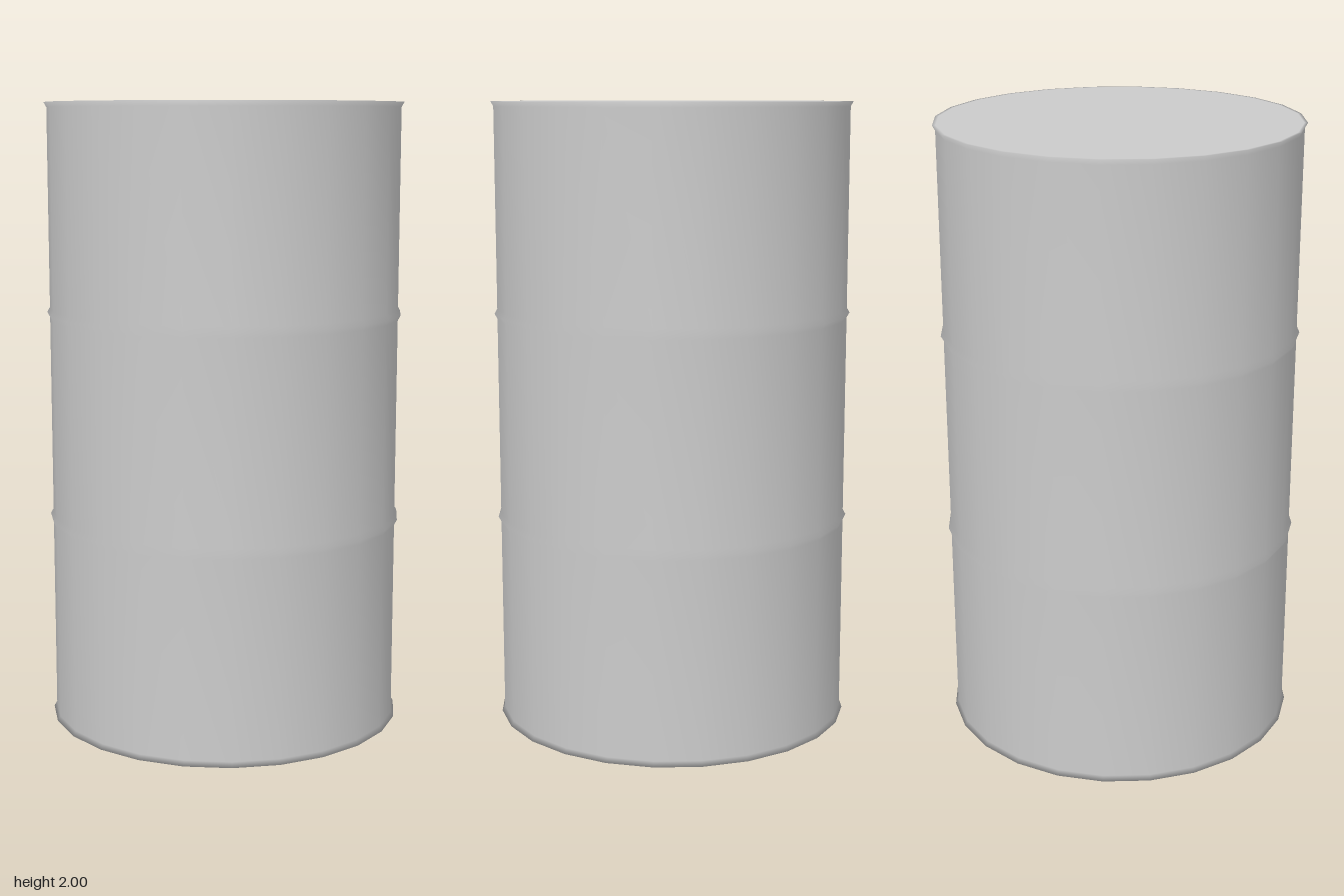
import * as THREE from 'three';
import { mergeVertices } from 'three/addons/utils/BufferGeometryUtils.js';

const SIDES = 24;
const BODY = 0.564;   // wall radius
const RIM = 0.573;    // radius of rims and hoops
const LID = 0.562;    // radius of the flat lid
const BASE = 0.533;   // radius of the sunken base
const RECESS = 0.035; // depth of the base above the foot ring
const BEVEL = 0.016;  // height of each rim and half hoop
const HEIGHT = 2;

// Turned solid with normals shared across every edge
function turned(profile) {
  const geometry = new THREE.LatheGeometry(profile.map(([r, y]) => new THREE.Vector2(r, y)), SIDES);
  geometry.deleteAttribute('uv');
  geometry.deleteAttribute('normal');
  const merged = mergeVertices(geometry, 1e-4);
  merged.computeVertexNormals();
  return merged;
}

export function createModel() {
  const group = new THREE.Group();
  group.name = 'barrel';
  const material = new THREE.MeshStandardMaterial({ color: 0xcccccc });

  // Sunken base and foot ring
  const profile = [[0, RECESS], [BASE, RECESS], [BASE, 0], [RIM, 0], [BODY, BEVEL]];

  // Two raised hoops around the wall
  for (const y of [HEIGHT / 3, (HEIGHT * 2) / 3]) {
    profile.push([BODY, y - BEVEL], [RIM, y], [BODY, y + BEVEL]);
  }

  // Flared top rim and flat lid
  profile.push([BODY, HEIGHT - BEVEL], [RIM, HEIGHT], [LID, HEIGHT], [0, HEIGHT]);

  const shell = new THREE.Mesh(turned(profile), material);
  shell.name = 'barrelShell';
  group.add(shell);
  return group;
}
